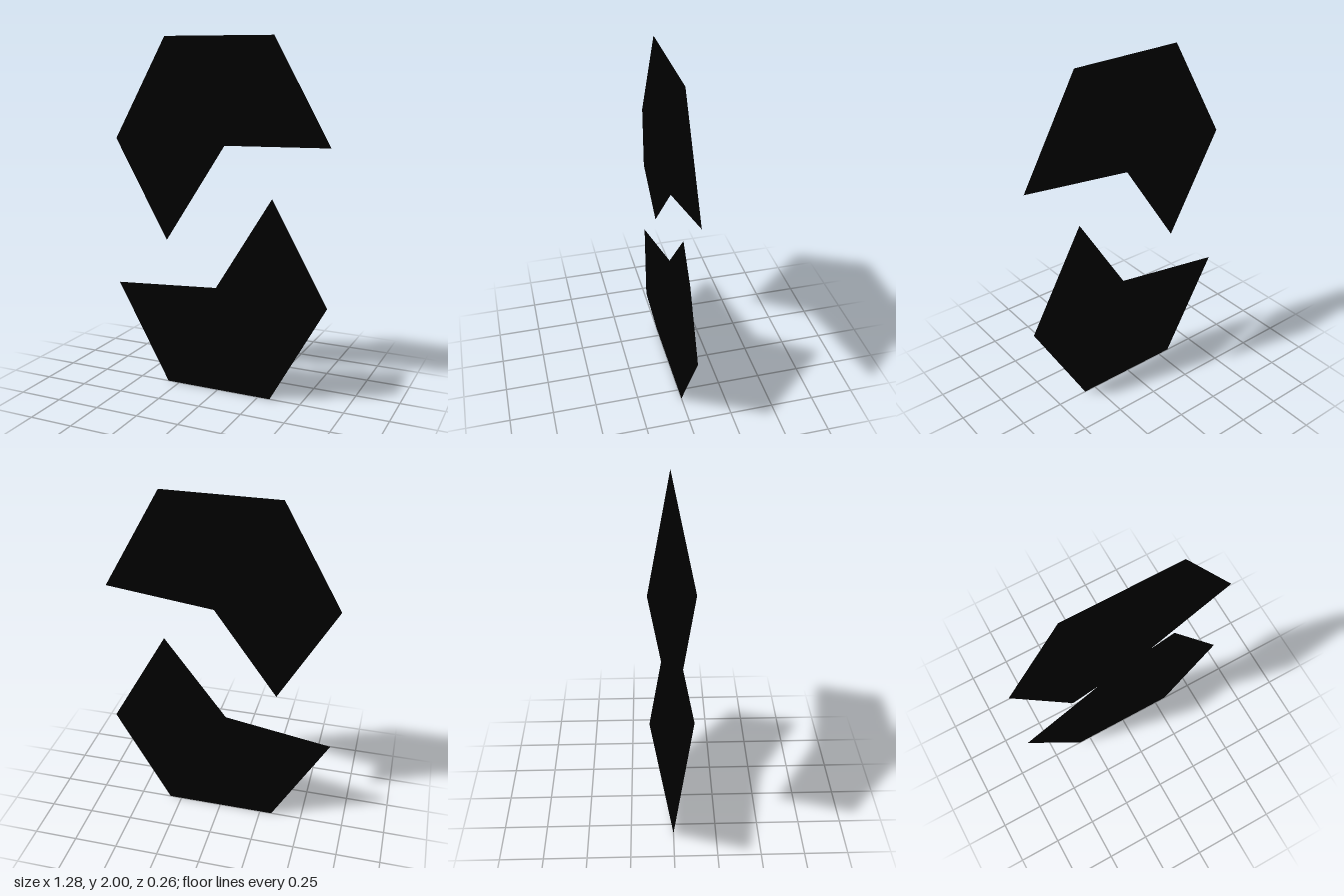
import * as THREE from 'three';

// Two thirds of a flat six-sided double pyramid, closed along both cuts
function shardGeometry(radius, height, depth) {
  const half = radius / 2;
  const rim = [
    [radius, 0, 0], [half, height, 0], [-half, height, 0],
    [-radius, 0, 0], [-half, -height, 0],
  ];
  const front = [0, 0, depth];
  const back = [0, 0, -depth];
  const corners = [];
  for (let i = 0; i < rim.length - 1; i++) {
    corners.push(front, rim[i], rim[i + 1]);
    corners.push(back, rim[i + 1], rim[i]);
  }
  // Cut faces
  corners.push(front, back, rim[0]);
  corners.push(front, rim[4], back);

  const geometry = new THREE.BufferGeometry();
  geometry.setAttribute('position', new THREE.Float32BufferAttribute(corners.flat(), 3));
  geometry.computeVertexNormals();
  return geometry;
}

export function createModel() {
  const group = new THREE.Group();
  group.name = 'splitHexagonEmblem';

  const black = new THREE.MeshStandardMaterial({ color: 0x000000, flatShading: true });
  black.name = 'black';

  const geometry = shardGeometry(0.642, 0.571, 0.132);

  // Upper piece, and the same piece turned half around for the lower one
  const upper = new THREE.Mesh(geometry, black);
  upper.name = 'upperShard';
  upper.position.y = 1.429;

  const lower = new THREE.Mesh(geometry, black);
  lower.name = 'lowerShard';
  lower.position.y = 0.571;
  lower.rotation.z = Math.PI;

  group.add(upper, lower);
  return group;
}
